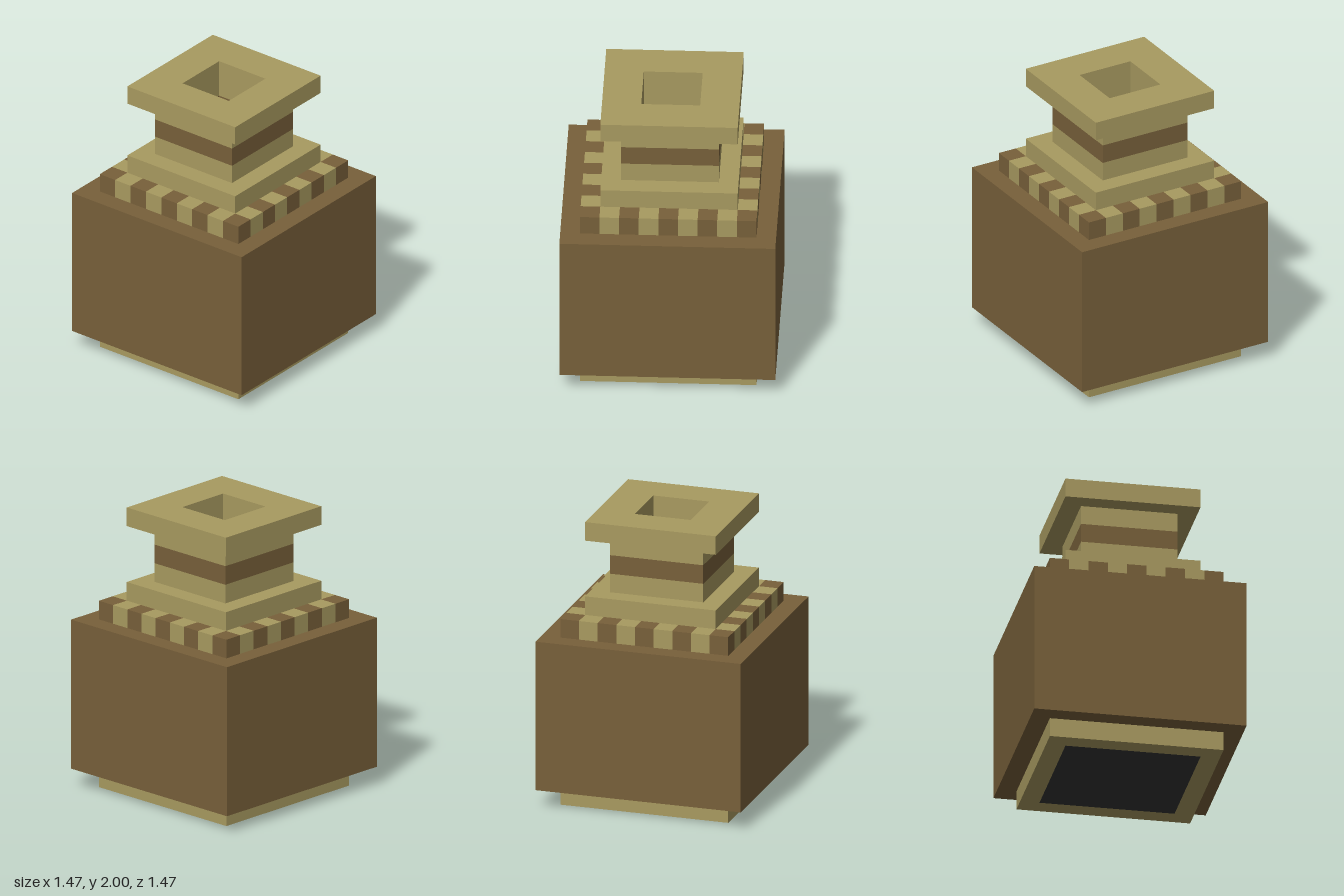
import * as THREE from 'three';

const U = 2 / 15; // one block
const tan = new THREE.MeshStandardMaterial({ color: 0xa89a60 });
const brown = new THREE.MeshStandardMaterial({ color: 0x78603a });
const dark = new THREE.MeshStandardMaterial({ color: 0x333333 });

// Square outline centred on the origin, half-width in blocks
function square(PathType, half) {
  const h = half * U;
  const path = new PathType();
  path.moveTo(-h, -h);
  path.lineTo(h, -h);
  path.lineTo(h, h);
  path.lineTo(-h, h);
  path.closePath();
  return path;
}

// Hollow square layer from y0 to y1 (all in blocks)
function frame(name, outer, inner, y0, y1, material) {
  const shape = square(THREE.Shape, outer);
  shape.holes.push(square(THREE.Path, inner));
  const geometry = new THREE.ExtrudeGeometry(shape, { depth: (y1 - y0) * U, bevelEnabled: false });
  geometry.rotateX(-Math.PI / 2);
  const mesh = new THREE.Mesh(geometry, material);
  mesh.name = name;
  mesh.position.y = y0 * U;
  return mesh;
}

export function createModel() {
  const model = new THREE.Group();
  model.name = 'jar';

  // Foot, belly, shoulder, neck and rim, each a hollow square layer
  model.add(
    frame('foot', 4.5, 3.5, 0, 1, tan),
    frame('belly', 5.5, 4.5, 1, 9, brown),
    frame('shoulder', 3.5, 2.5, 10, 11, tan),
    frame('lowerNeck', 2.5, 1.5, 11, 12, tan),
    frame('neckBand', 2.5, 1.5, 12, 13, brown),
    frame('upperNeck', 2.5, 1.5, 13, 14, tan),
    frame('rim', 3.5, 1.5, 14, 15, tan)
  );

  // Dark floor set inside the foot
  const floor = new THREE.Mesh(new THREE.BoxGeometry(7 * U, U, 7 * U), dark);
  floor.name = 'floor';
  floor.position.y = U / 2;
  model.add(floor);

  // Ring of alternating blocks on top of the belly
  const ring = new THREE.Group();
  ring.name = 'checkeredRing';
  const block = new THREE.BoxGeometry(U, U, U);
  for (let i = -4; i <= 4; i++) {
    for (let j = -4; j <= 4; j++) {
      if (Math.max(Math.abs(i), Math.abs(j)) < 4) continue;
      const mesh = new THREE.Mesh(block, (i + j) % 2 === 0 ? brown : tan);
      mesh.name = 'ringBlock';
      mesh.position.set(i * U, 9.5 * U, j * U);
      ring.add(mesh);
    }
  }
  model.add(ring);

  return model;
}
